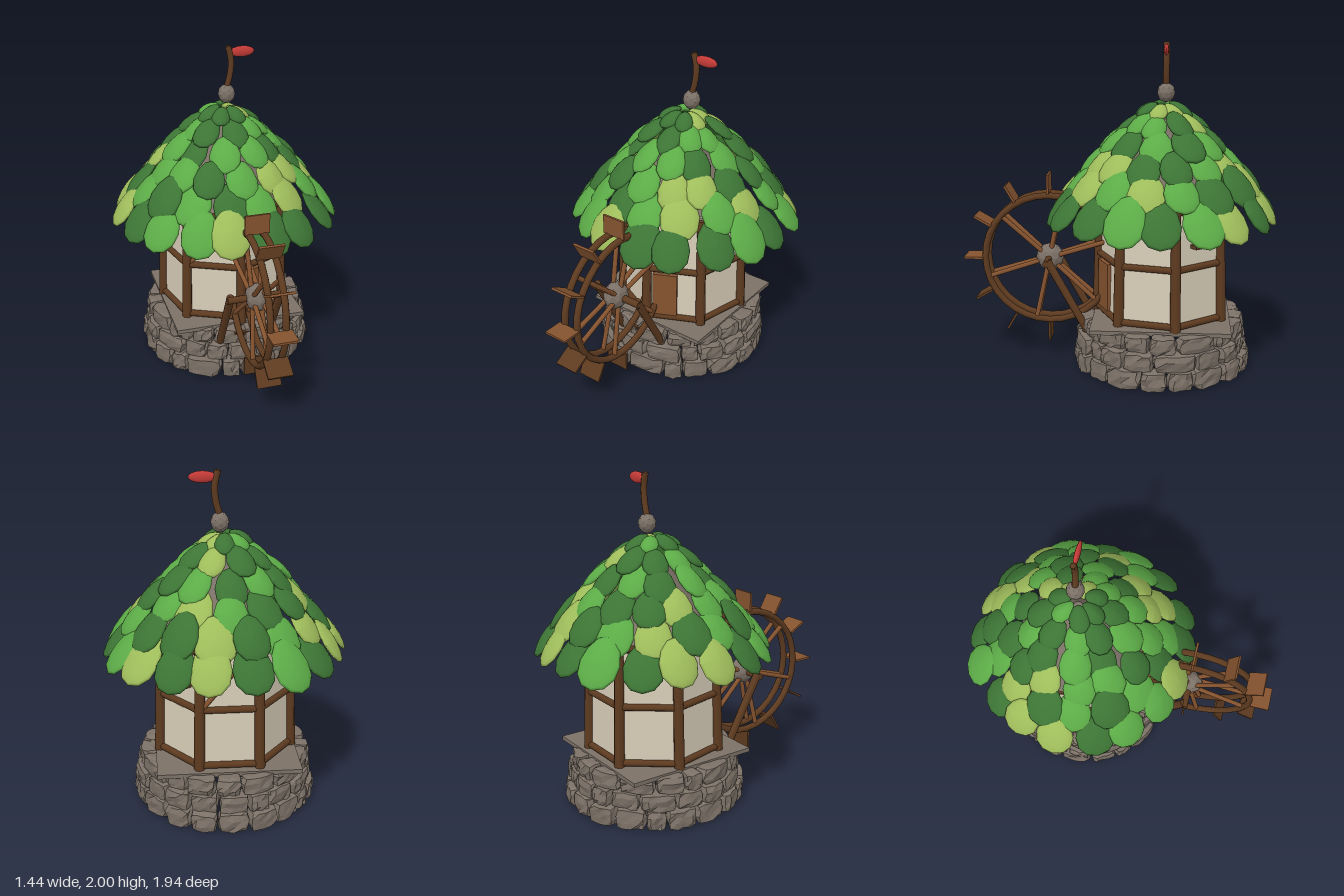
import * as THREE from 'three';

const mat = (name, color) => Object.assign(new THREE.MeshStandardMaterial({ color }), { name });
const M = {
  stone: mat('stone grey', 0x7c7167),
  plaster: mat('plaster cream', 0xd8cdb8),
  darkWood: mat('dark wood', 0x5e3b20),
  wood: mat('light wood', 0x85532f),
  leafDark: mat('leaf dark green', 0x3d7535),
  leafMid: mat('leaf mid green', 0x5cab47),
  leafLight: mat('leaf light green', 0x9fbd5b),
  glow: mat('window orange', 0xe39a36),
  red: mat('flag red', 0xc83c38),
};

let seed = 7;
const rnd = () => (seed = (seed * 16807) % 2147483647) / 2147483647;
const jit = (a) => (rnd() - 0.5) * 2 * a;
const V = (x, y, z) => new THREE.Vector3(x, y, z);

function add(parent, name, geo, material, pos) {
  const mesh = new THREE.Mesh(geo, material);
  mesh.name = name;
  if (pos) mesh.position.copy(pos);
  parent.add(mesh);
  return mesh;
}

function flat(geo) {
  const g = geo.index ? geo.toNonIndexed() : geo;
  g.computeVertexNormals();
  return g;
}

// Round log between two points
function log(parent, name, a, b, r0, r1 = r0, material = M.darkWood) {
  const mesh = add(parent, name, new THREE.CylinderGeometry(r1, r0, a.distanceTo(b), 8), material);
  mesh.position.copy(a).lerp(b, 0.5);
  mesh.quaternion.setFromUnitVectors(V(0, 1, 0), b.clone().sub(a).normalize());
  return mesh;
}

// Rough block bent along an arc of the foundation
function stoneBlock(radius, depth, y0, height, a0, a1) {
  const g = new THREE.BoxGeometry(2, 2, 2, 4, 3, 3);
  const p = g.attributes.position;
  const moved = new Map();
  for (let i = 0; i < p.count; i++) {
    const v = V(p.getX(i), p.getY(i), p.getZ(i));
    const key = v.toArray().map((n) => n.toFixed(2)).join();
    if (!moved.has(key)) {
      const k = Math.pow(v.x ** 6 + v.y ** 6 + v.z ** 6, -1 / 6);
      const u = v.clone().multiplyScalar(k).add(V(jit(0.08), jit(0.1), jit(0.14)));
      const a = (a0 + a1) / 2 + (u.x * (a1 - a0)) / 2;
      const r = radius - depth / 2 + (u.z * depth) / 2;
      moved.set(key, V(Math.sin(a) * r, Math.max(0, y0 + height / 2 + (u.y * height) / 2), Math.cos(a) * r));
    }
    const m = moved.get(key);
    p.setXYZ(i, m.x, m.y, m.z);
  }
  return flat(g);
}

function buildFoundation(house) {
  const base = new THREE.Group();
  base.name = 'stoneFoundation';
  house.add(base);
  [[0.548, 0, 0.122, 19], [0.53, 0.112, 0.11, 18], [0.51, 0.213, 0.105, 17]].forEach(([r, y, h, n], row) => {
    const cuts = Array.from({ length: n }, (_, i) => ((i + row * 0.5 + jit(0.25)) / n) * Math.PI * 2);
    cuts.push(cuts[0] + Math.PI * 2);
    for (let i = 0; i < n; i++) {
      add(base, 'foundationStone', stoneBlock(r + jit(0.012), 0.12, y, h, cuts[i] + 0.004, cuts[i + 1] - 0.004), M.stone);
    }
  });
  add(base, 'floorSlab', new THREE.BoxGeometry(0.84, 0.025, 0.84), M.stone, V(0, 0.315, 0));
}

// Seven-sided timber-framed house
const SIDES = 7;
const corner = (i, y) => {
  const a = (i / SIDES) * Math.PI * 2;
  const r = 0.405 - (y - 0.33) * 0.03;
  return V(Math.sin(a) * r, y, Math.cos(a) * r);
};

function onWall(house, i, name) {
  const g = new THREE.Group();
  g.name = name;
  g.rotation.y = ((i + 0.5) / SIDES) * Math.PI * 2;
  house.add(g);
  return g;
}

function buildWalls(house) {
  add(house, 'plasterWalls', flat(new THREE.CylinderGeometry(0.378, 0.398, 0.77, SIDES)), M.plaster, V(0, 0.705, 0));
  for (let i = 0; i < SIDES; i++) {
    log(house, 'cornerPost', corner(i, 0.32), corner(i, 1.07), 0.032, 0.028);
    for (const y of [0.35, 0.695, 1.04]) log(house, 'wallBeam', corner(i, y), corner(i + 1, y), 0.021);
  }
  // Diagonal braces
  for (const i of [3, 6]) {
    log(house, 'diagonalBrace', corner(i, 0.71).lerp(corner(i + 1, 0.71), 0.06),
      corner(i, 1.03).lerp(corner(i + 1, 1.03), 0.85), 0.015, 0.015, M.wood);
  }
  const door = onWall(house, 0, 'door');
  add(door, 'doorPanel', new THREE.BoxGeometry(0.155, 0.33, 0.03), M.wood, V(-0.055, 0.5, 0.36));
  const win = onWall(house, 2, 'window');
  add(win, 'windowPane', new THREE.BoxGeometry(0.115, 0.13, 0.02), M.glow, V(0.02, 0.905, 0.351));
  add(win, 'windowSill', new THREE.BoxGeometry(0.15, 0.022, 0.06), M.darkWood, V(0.02, 0.825, 0.37));
}

// Egg-shaped leaf shingle, broader toward its tip (+z), drooping at the rim
function leafGeometry() {
  const g = new THREE.SphereGeometry(1, 12, 8);
  const p = g.attributes.position;
  for (let i = 0; i < p.count; i++) {
    const [x, z] = [p.getX(i), p.getZ(i)];
    p.setXYZ(i, x * (1 + 0.15 * z), p.getY(i) - 0.3 * z * z - 0.5 * x * x, z);
  }
  g.computeVertexNormals();
  return g;
}

function buildRoof(house) {
  const roof = new THREE.Group();
  roof.name = 'leafRoof';
  house.add(roof);
  add(roof, 'roofCore', new THREE.CylinderGeometry(0.03, 0.385, 0.47, 14), M.stone, V(0, 1.305, 0));
  const leaf = leafGeometry();
  const greens = { D: M.leafDark, M: M.leafMid, L: M.leafLight };
  // radius, height, tilt, length, width, turn in leaf steps, colour of each leaf from the front round to the left
  const rows = [
    [0.628, 1.04, 0.9, 0.31, 0.235, -0.5, 'LDDDMDMLDLDMDLLDMM'],
    [0.525, 1.18, 0.87, 0.29, 0.225, 0.5, 'MLMLMDDLDMLDMDMD'],
    [0.42, 1.3, 0.82, 0.27, 0.205, 0, 'MLLDDMLMDDLMMD'],
    [0.31, 1.415, 0.76, 0.26, 0.19, 0.5, 'MDMDMDMDMDM'],
    [0.2, 1.52, 0.66, 0.22, 0.155, 0, 'DMMDLDDMD'],
    [0.1, 1.595, 0.5, 0.16, 0.115, 0.5, 'DLLDMDD'],
  ];
  for (const [r, y, tilt, len, w, turn, colours] of rows) {
    [...colours].forEach((c, i) => {
      const pivot = new THREE.Group();
      pivot.name = 'leafShingle';
      pivot.rotation.y = ((i + turn + jit(0.12)) / colours.length) * Math.PI * 2;
      roof.add(pivot);
      const k = 1 + jit(0.07);
      const m = add(pivot, 'leaf', leaf, greens[c], V(0, y + jit(0.012), r + jit(0.015)));
      m.scale.set((w / 2) * k, 0.026, (len / 2) * k);
      m.rotation.set(tilt + jit(0.07), 0, jit(0.12));
    });
  }
}

function buildFinial(house) {
  const ball = add(house, 'finialStone', flat(new THREE.IcosahedronGeometry(0.058, 1)), M.stone, V(0.027, 1.7, -0.015));
  ball.scale.set(0.93, 1.05, 0.93);
  const path = new THREE.CatmullRomCurve3([V(0.025, 1.73, -0.015), V(0.05, 1.82, -0.015), V(0.056, 1.91, -0.015), V(0.038, 1.995, -0.015)]);
  add(house, 'flagPole', new THREE.TubeGeometry(path, 12, 0.019, 8), M.darkWood);
  add(house, 'poleTip', new THREE.SphereGeometry(0.0185, 8, 6), M.darkWood, V(0.039, 1.981, -0.015));
  const flag = add(house, 'leafFlag', new THREE.SphereGeometry(1, 14, 8), M.red, V(0.125, 1.957, -0.015));
  flag.scale.set(0.08, 0.034, 0.016);
}

function buildWheel(root) {
  const wheel = new THREE.Group();
  wheel.name = 'waterWheel';
  wheel.position.set(-0.012, 0.66, 0.45);
  root.add(wheel);
  const around = (x, r, a) => V(x, Math.sin(a) * r, -Math.cos(a) * r);
  for (const x of [-0.046, 0.046]) {
    const rim = add(wheel, 'wheelRim', new THREE.TorusGeometry(0.402, 0.021, 8, 32), M.darkWood, V(x, 0, 0));
    rim.rotation.y = Math.PI / 2;
    for (let i = 0; i < 6; i++) {
      const a = 0.31 + (i * Math.PI) / 3;
      log(wheel, 'spoke', around(x * 0.6, 0.05, a), around(x, 0.4, a), 0.015, 0.015, M.wood);
    }
  }
  // Paddles, the lower ones darkened by water
  for (let i = 0; i < 12; i++) {
    const a = (i * Math.PI) / 6;
    const paddle = add(wheel, 'paddle', new THREE.BoxGeometry(0.15, 0.12, 0.014), Math.sin(a) < -0.1 ? M.darkWood : M.wood, around(0, 0.474, a));
    paddle.rotation.x = a - Math.PI / 2;
  }
  const hub = add(wheel, 'stoneHub', flat(new THREE.IcosahedronGeometry(0.088, 1)), M.stone);
  hub.scale.x = 0.8;
  log(wheel, 'axle', V(-0.18, 0, 0), V(0.18, 0, 0), 0.022);
  for (const x of [-0.158, 0.158]) log(wheel, 'axleStrut', V(x, 0.015, -0.005), V(x, -0.43, -0.25), 0.026, 0.024);
}

export function createModel() {
  const root = new THREE.Group();
  root.name = 'leafRoofMill';
  const house = new THREE.Group();
  house.name = 'house';
  house.position.set(-0.015, 0, -0.255);
  root.add(house);
  buildFoundation(house);
  buildWalls(house);
  buildRoof(house);
  buildFinial(house);
  buildWheel(root);
  return root;
}
